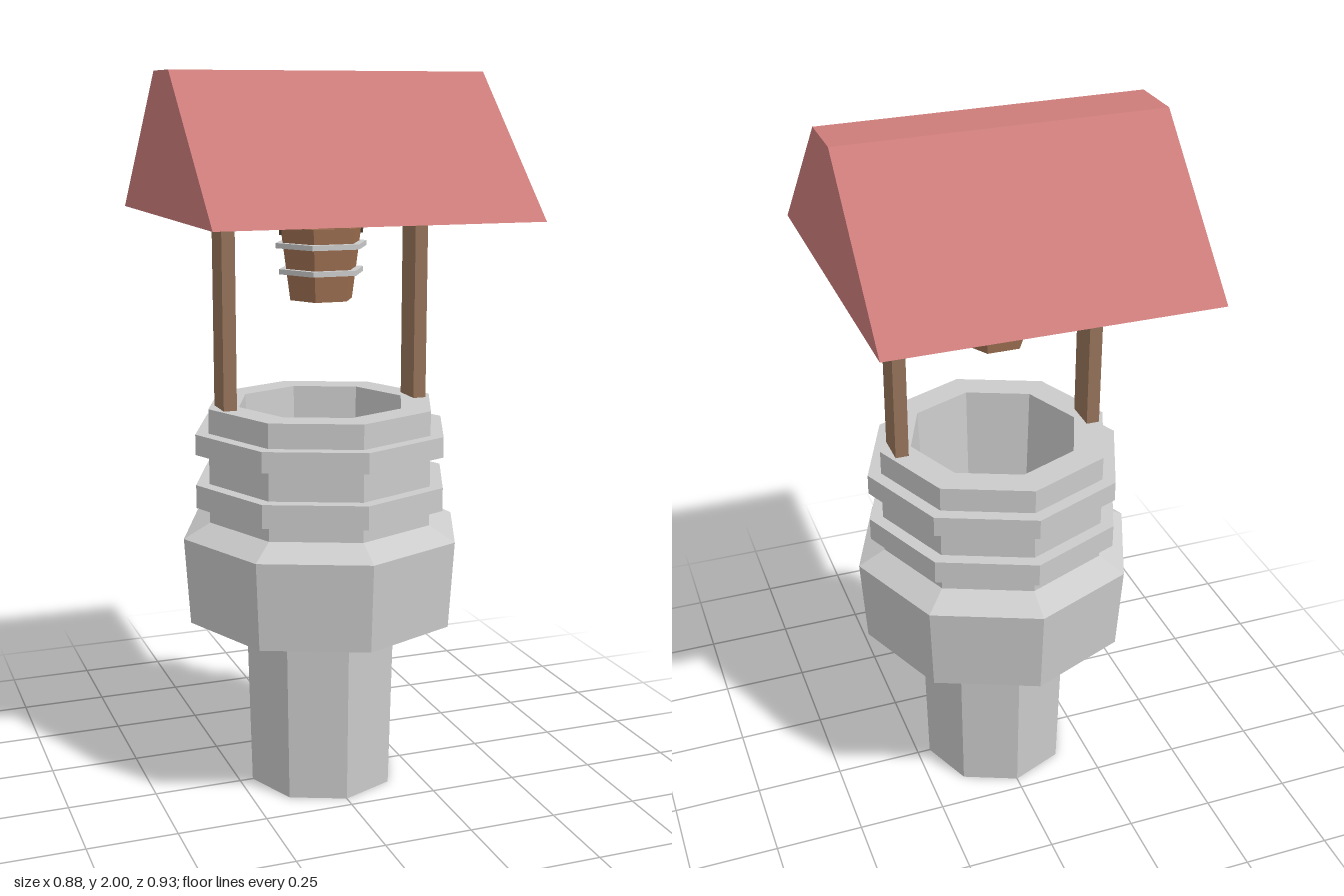
import * as THREE from 'three';

const mat = (color, side = THREE.FrontSide) =>
  new THREE.MeshStandardMaterial({ color, side, flatShading: true });

const STONE = mat(0xcccccc, THREE.DoubleSide);
const METAL = mat(0xcccccc);
const WOOD = mat(0x96745a);
const BUCKET = mat(0x9f7152, THREE.DoubleSide);
const DARK = mat(0x50402f);
const ROOF = mat(0xcc7c7a, THREE.DoubleSide);

function add(parent, name, geometry, material, x = 0, y = 0, z = 0) {
  const mesh = new THREE.Mesh(geometry, material);
  mesh.name = name;
  mesh.position.set(x, y, z);
  parent.add(mesh);
  return mesh;
}

// Faceted solid of revolution from [radius, height] pairs
const turned = (profile, sides) =>
  new THREE.LatheGeometry(profile.map(([r, y]) => new THREE.Vector2(r, y)), sides);

// Closed band around a tapered body
const band = (inner, outer, y0, y1, sides) =>
  turned([[inner, y0], [outer, y0], [outer, y1], [inner, y1], [inner, y0]], sides);

export function createModel() {
  const model = new THREE.Group();
  model.name = 'wishingWell';

  // Tapered octagonal foot
  add(model, 'shaft', turned([[0, 0], [0.212, 0], [0.229, 0.7]], 8), STONE);

  // Flared collar with hollow underside, neck, rim and inner wall
  add(model, 'wellBody', turned([
    [0.229, 0.7], [0.387, 0.5], [0.403, 0.745], [0.327, 0.785], [0.327, 1.105],
    [0.24, 1.105], [0.22, 0.7], [0.2, 0.5], [0, 0.5],
  ], 8), STONE);

  // Stone bands around the neck
  for (const [y0, y1] of [[0.83, 0.895], [0.98, 1.037]]) {
    add(model, 'stoneBand', band(0.32, 0.365, y0, y1, 8), STONE);
  }

  // Posts and crossbeam
  for (const side of [-1, 1]) {
    add(model, side > 0 ? 'leftPost' : 'rightPost',
      new THREE.BoxGeometry(0.037, 0.72, 0.092), WOOD, side * 0.278, 1.45, 0);
  }
  add(model, 'crossbeam', new THREE.BoxGeometry(0.78, 0.06, 0.15), WOOD, 0, 1.82, 0);

  // Hollow roof: a box narrowed at the top, without its bottom face
  const roof = new THREE.BoxGeometry(0.876, 0.375, 0.93);
  const pos = roof.attributes.position;
  for (let i = 0; i < pos.count; i++) {
    if (pos.getY(i) > 0) pos.setZ(i, Math.sign(pos.getZ(i)) * 0.077);
  }
  const index = Array.from(roof.index.array);
  index.splice(18, 6);
  roof.setIndex(index);
  roof.clearGroups();
  roof.computeVertexNormals();
  add(model, 'roof', roof, ROOF, 0, 1.8125, 0);

  // Six-sided bucket with two hoops
  const bucket = new THREE.Group();
  bucket.name = 'bucket';
  bucket.rotation.y = Math.PI / 2;
  add(bucket, 'bucketBody', turned([
    [0, 1.392], [0.09, 1.392], [0.117, 1.59], [0.1, 1.59], [0.078, 1.41], [0, 1.41],
  ], 6), BUCKET);
  add(bucket, 'upperHoop', band(0.105, 0.132, 1.535, 1.549, 6), METAL);
  add(bucket, 'lowerHoop', band(0.095, 0.122, 1.464, 1.478, 6), METAL);
  model.add(bucket);

  // Arched handle reaching the crossbeam
  const path = [new THREE.Vector3(0.117, 1.57, 0)];
  for (let i = 0; i <= 8; i++) {
    const a = (i / 8) * Math.PI;
    path.push(new THREE.Vector3(0.117 * Math.cos(a), 1.66 + 0.117 * Math.sin(a), 0));
  }
  path.push(new THREE.Vector3(-0.117, 1.57, 0));
  add(model, 'handle',
    new THREE.TubeGeometry(new THREE.CatmullRomCurve3(path), 28, 0.005, 5), DARK);

  return model;
}
